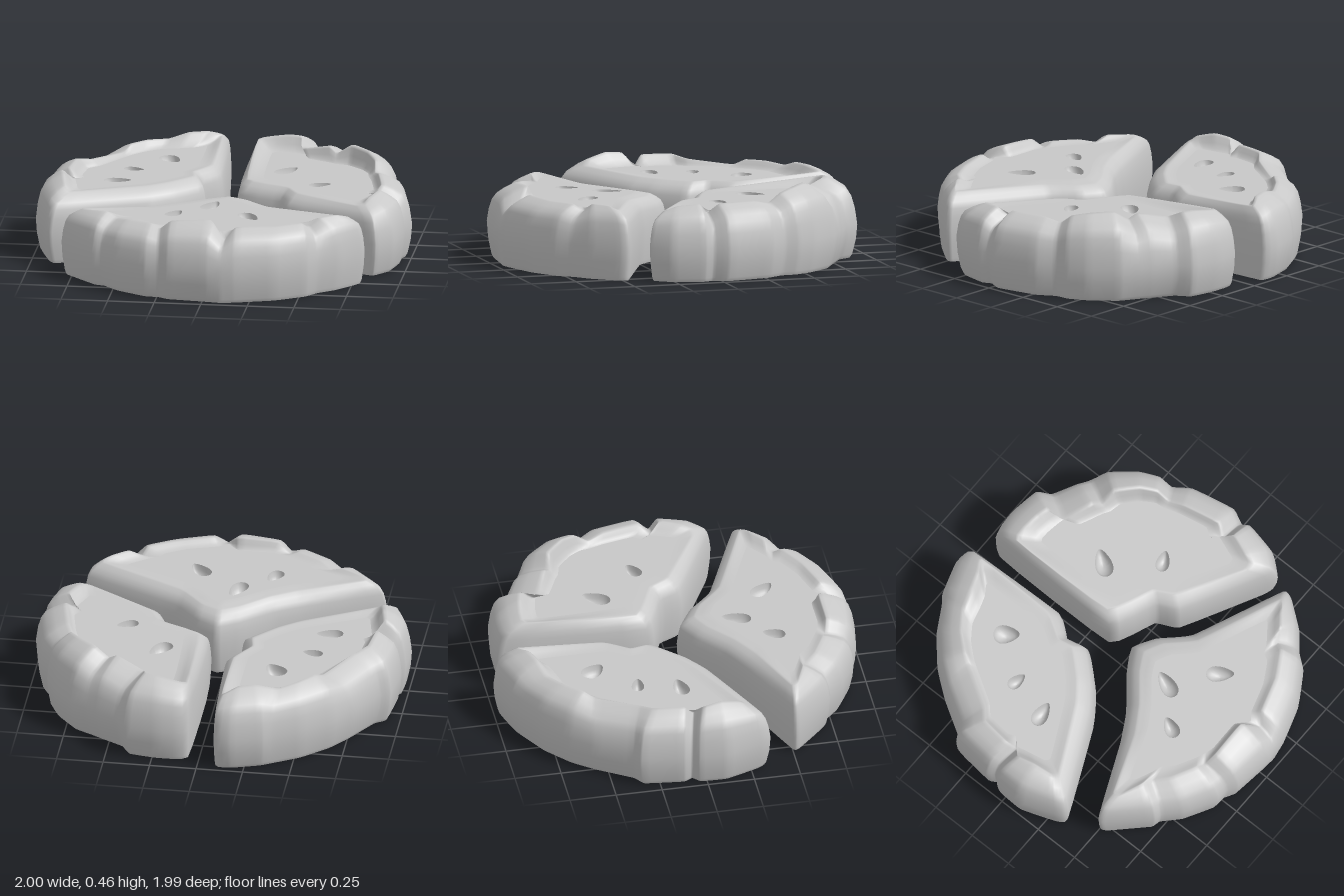
import * as THREE from 'three';

const stone = new THREE.MeshStandardMaterial({ color: 0xc8c8c8 });
stone.name = 'grey stone';

// Outline stations: [outer x, outer z, crest x, crest z, crest height]; low crests are grooves
const frontWedge = [
  [.04, .03, .04, .13, .345], [.16, .10, .14, .18, .345], [.30, .24, .27, .31, .35],
  [.80, .46, .71, .50, .37], [.80, .52, .67, .55, .39], [.70, .65, .59, .61, .39],
  [.60, .735, .53, .64, .345], [.54, .81, .50, .69, .38], [.38, .91, .36, .77, .38],
  [.18, .975, .17, .83, .385], [.10, .985, .11, .87, .325], [.02, .99, .03, .80, .41],
  [-.18, .96, -.18, .80, .40], [-.24, .925, -.25, .78, .345], [-.32, .92, -.30, .76, .37],
  [-.48, .83, -.43, .69, .365], [-.57, .745, -.50, .62, .35], [-.62, .73, -.56, .60, .38],
  [-.795, .54, -.67, .55, .37], [-.80, .50, -.68, .51, .365], [-.40, .32, -.36, .39, .35],
  [-.24, .23, -.21, .30, .35], [-.08, .10, -.06, .18, .345],
];
const rightBackWedge = [
  [.055, -.91, .08, -.78, .40], [.22, -.95, .24, -.78, .43], [.39, -.925, .31, -.76, .43],
  [.45, -.855, .33, -.67, .39], [.56, -.79, .48, -.60, .43], [.63, -.75, .53, -.57, .40],
  [.72, -.695, .61, -.55, .455], [.83, -.56, .71, -.46, .45], [.88, -.455, .76, -.38, .43],
  [.885, -.375, .77, -.31, .38], [.95, -.28, .80, -.22, .40], [1, -.04, .84, -.02, .40],
  [.965, .045, .80, .04, .345], [.98, .10, .84, .09, .40], [.945, .27, .80, .20, .39],
  [.86, .37, .78, .25, .37], [.80, .35, .73, .25, .36], [.35, .12, .40, .05, .355],
  [.285, 0, .33, -.06, .355], [.045, -.12, .10, -.18, .355],
];
const leftBackWedge = [
  [-.09, -.97, -.12, -.86, .39], [-.185, -1, -.20, -.82, .42], [-.345, -.95, -.29, -.79, .42],
  [-.40, -.91, -.40, -.76, .39], [-.54, -.83, -.50, -.69, .40], [-.69, -.70, -.58, -.60, .40],
  [-.79, -.57, -.62, -.54, .37], [-.90, -.39, -.75, -.33, .39], [-.955, -.35, -.82, -.26, .41],
  [-.98, -.13, -.84, -.10, .41], [-.955, -.08, -.82, -.05, .35], [-.99, -.04, -.87, 0, .42],
  [-1, .11, -.85, .10, .43], [-.93, .30, -.83, .20, .40], [-.88, .36, -.79, .22, .37],
  [-.40, .14, -.43, .04, .36], [-.26, .04, -.31, -.05, .36], [-.115, -.12, -.19, -.18, .36],
  [-.14, -.25, -.20, -.27, .36], [-.055, -.37, -.12, -.41, .36],
];

// Pits: [x, z, half length, half width, angle in degrees]
const wedges = [
  ['frontSlice', frontWedge, [[-.03, .34, .08, .042, -70], [-.205, .51, .062, .038, -65], [.195, .52, .075, .042, 50]]],
  ['backLeftSlice', rightBackWedge, [[.285, -.36, .08, .045, -55], [.495, -.12, .06, .035, -25]]],
  ['backRightSlice', leftBackWedge, [[-.355, -.5, .07, .05, 50], [-.525, -.29, .055, .032, 10], [-.585, -.07, .072, .04, -8]]],
];
const TOP = .355, BELLY = .18, SIDES = 20, STEPS = 4;

// Wall and rim profile: [fraction from outline to crest, fraction from belly to crest height]
const bevel = [[0, 0], [.07, .35], [.17, .6], [.32, .77], [.6, .89], [.88, .98], [1, 1]];
// Slope inside the crest: [scale toward the middle, share of the crest height kept]
const dish = [[.97, .85], [.92, .45], [.87, .12], [.82, 0]];

// Smooth closed loop with a fixed number of samples per station, so loops match up
function loop(points) {
  const curve = new THREE.CatmullRomCurve3(points, true, 'catmullrom', .16);
  const n = points.length * STEPS;
  return Array.from({ length: n }, (_, i) => curve.getPoint(i / n));
}

// Egg-shaped warp of the unit circle into a pit outline
function warp([cx, cz, len, wid, deg], u, w) {
  const a = THREE.MathUtils.degToRad(deg), l = u * len, s = w * wid * (1 - .35 * u);
  return [cx + l * Math.cos(a) - s * Math.sin(a), cz + l * Math.sin(a) + s * Math.cos(a)];
}

function addMesh(group, name, geometry) {
  const mesh = new THREE.Mesh(geometry, stone);
  mesh.name = name;
  group.add(mesh);
}

// Wall and rounded rim skinned through stacked loops
function skin(rings) {
  const n = rings[0].length, index = [];
  for (let k = 0; k < rings.length - 1; k++) for (let i = 0; i < n; i++) {
    const a = k * n + i, b = k * n + (i + 1) % n;
    index.push(a, b, b + n, a, b + n, a + n);
  }
  const g = new THREE.BufferGeometry().setFromPoints(rings.flat());
  g.setIndex(index);
  g.computeVertexNormals();
  return g;
}

function makeSlice(name, stations, pits) {
  const group = new THREE.Group();
  group.name = name;
  // Counter-clockwise seen from above
  const area = THREE.ShapeUtils.area(stations.map(s => new THREE.Vector2(s[0], -s[1])));
  const list = area > 0 ? stations : [...stations].reverse();
  const at = (t, y) => loop(list.map(([ox, oz, ix, iz, h]) =>
    new THREE.Vector3(ox + (ix - ox) * t, y(h), oz + (iz - oz) * t)));
  const rings = [
    at(.22, () => 0), at(.15, () => .02), at(.04, () => .1),
    ...bevel.map(([t, f]) => at(t, h => BELLY + (h - BELLY) * f)),
  ];
  const crest = rings[rings.length - 1];
  const centre = crest.reduce((s, p) => s.add(p), new THREE.Vector3()).divideScalar(crest.length);
  for (const [s, keep] of dish) rings.push(crest.map(p =>
    p.clone().lerp(centre, 1 - s).setY(TOP + (p.y - TOP) * keep)));
  addMesh(group, 'wallAndRim', skin(rings));

  // Flat top with openings for the pits
  const top = new THREE.Shape(rings[rings.length - 1].map(p => new THREE.Vector2(p.x, -p.z)));
  for (const pit of pits) {
    const pts = Array.from({ length: SIDES }, (_, i) => {
      const f = i / SIDES * Math.PI * 2, [x, z] = warp(pit, Math.sin(f), Math.cos(f));
      return new THREE.Vector2(x, -z);
    });
    top.holes.push(new THREE.Path(pts));
  }
  addMesh(group, 'topFace', new THREE.ShapeGeometry(top).rotateX(-Math.PI / 2).translate(0, TOP, 0));

  // Flat underside
  const base = new THREE.Shape(rings[0].map(p => new THREE.Vector2(p.x, p.z)));
  addMesh(group, 'underside', new THREE.ShapeGeometry(base).rotateX(Math.PI / 2));

  // Hollow pits
  const profile = [[1, 0], [.9, -.03], [.65, -.05], [.3, -.06], [0, -.062]].map(p => new THREE.Vector2(...p));
  for (const pit of pits) {
    const g = new THREE.LatheGeometry(profile, SIDES), p = g.attributes.position;
    for (let i = 0; i < p.count; i++) {
      const [x, z] = warp(pit, p.getX(i), p.getZ(i));
      p.setXYZ(i, x, p.getY(i) + TOP, z);
    }
    g.computeVertexNormals();
    addMesh(group, 'pit', g);
  }
  return group;
}

export function createModel() {
  const model = new THREE.Group();
  model.name = 'splitRoundStone';
  for (const wedge of wedges) model.add(makeSlice(...wedge));
  return model;
}
